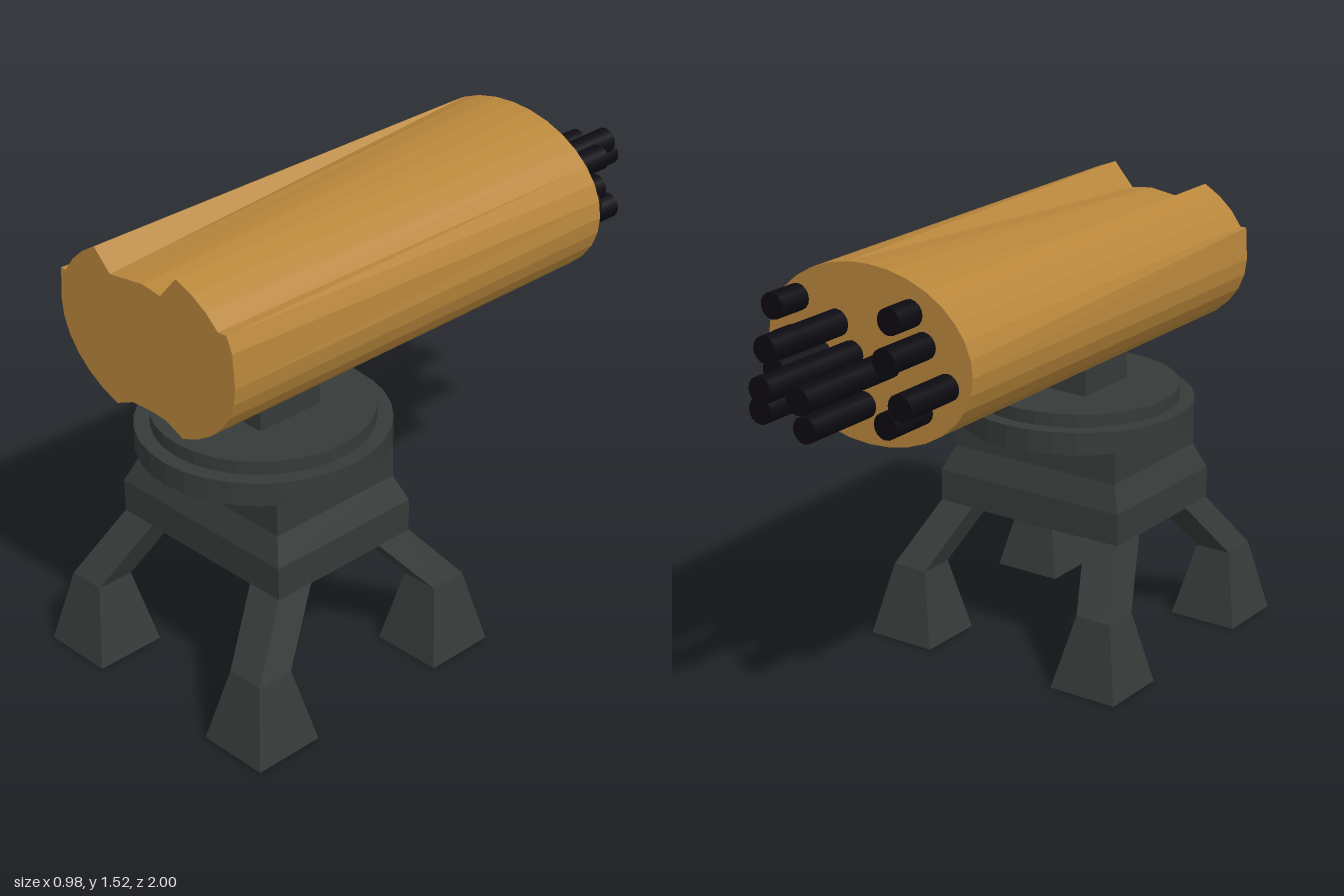
import * as THREE from 'three';

const iron = new THREE.MeshStandardMaterial({ color: 0x363a38, flatShading: true });
const brass = new THREE.MeshStandardMaterial({ color: 0xb8863b, flatShading: true });
const black = new THREE.MeshStandardMaterial({ color: 0x0c0a11 });

const BASE_Z = 0.508;

function add(parent, name, geometry, material, x = 0, y = 0, z = 0) {
  const mesh = new THREE.Mesh(geometry, material);
  mesh.name = name;
  mesh.position.set(x, y, z);
  parent.add(mesh);
  return mesh;
}

// Stack of rectangles [y, xMin, xMax, zMin, zMax], bottom to top, joined by flat sides
function rectLoft(levels) {
  const n = levels.length - 1;
  const geo = new THREE.BoxGeometry(1, 1, 1, 1, n, 1);
  const p = geo.attributes.position;
  for (let i = 0; i < p.count; i++) {
    const [y, x0, x1, z0, z1] = levels[Math.round((p.getY(i) + 0.5) * n)];
    p.setXYZ(i, p.getX(i) < 0 ? x0 : x1, y, p.getZ(i) < 0 ? z0 : z1);
  }
  geo.computeVertexNormals();
  return geo;
}

// Leg in one quadrant: flared foot, knee and slanted thigh
function legGeometry(sx, sz) {
  const levels = [
    [0, 0.245, 0.488, 0.25, 0.488],
    [0.248, 0.305, 0.432, 0.305, 0.432],
    [0.447, 0.225, 0.352, 0.142, 0.273],
  ];
  return rectLoft(levels.map(([y, a, b, c, d]) => [
    y,
    ...(sx > 0 ? [a, b] : [-b, -a]),
    ...(sz > 0 ? [c, d] : [-d, -c]),
  ]));
}

// Elliptical barrel: the rear is a clean ellipse, the front rim is dented and bulged
function barrelGeometry() {
  const N = 32, zFront = 0.95, zRear = -0.585;
  const rear = [];
  for (let i = 0; i < N; i++) {
    const a = (i / N) * Math.PI * 2;
    rear.push(new THREE.Vector2(0.38 * Math.sin(a), 1.243 + 0.278 * Math.cos(a)));
  }
  const front = rear.map((v) => v.clone());
  const rimHeights = {
    30: 1.41, 31: 1.42, 0: 1.43, 1: 1.42, // top dent
    6: 1.4, 7: 1.35, 25: 1.35, // shoulder bulges
    15: 1.018, 16: 1.022, 17: 1.018, // bottom dent
  };
  for (const [i, y] of Object.entries(rimHeights)) front[i].y = y;

  const geo = new THREE.ExtrudeGeometry(new THREE.Shape(front), {
    depth: zFront - zRear, bevelEnabled: false, steps: 1,
  });
  geo.translate(0, 0, zRear);
  const p = geo.attributes.position;
  const v = new THREE.Vector2();
  for (let i = 0; i < p.count; i++) {
    if (p.getZ(i) > 0) continue;
    v.set(p.getX(i), p.getY(i));
    const k = front.findIndex((f) => f.distanceTo(v) < 1e-4);
    p.setXY(i, rear[k].x, rear[k].y);
  }
  geo.computeVertexNormals();
  return geo;
}

export function createModel() {
  const model = new THREE.Group();
  model.name = 'mountedBarrel';

  // Stand
  const stand = new THREE.Group();
  stand.name = 'stand';
  stand.position.z = BASE_Z;
  model.add(stand);
  for (const sx of [-1, 1]) {
    for (const sz of [-1, 1]) add(stand, 'leg', legGeometry(sx, sz), iron);
  }
  add(stand, 'housing', rectLoft([
    [0.445, -0.352, 0.352, -0.273, 0.273],
    [0.555, -0.352, 0.352, -0.273, 0.273],
    [0.64, -0.315, 0.315, -0.24, 0.24],
    [0.75, -0.315, 0.315, -0.24, 0.24],
  ]), iron);
  add(stand, 'turntableRim', new THREE.CylinderGeometry(0.395, 0.395, 0.077, 32), iron, 0, 0.7835, 0);
  add(stand, 'turntableTop', new THREE.CylinderGeometry(0.346, 0.346, 0.046, 32), iron, 0, 0.844, 0);
  add(stand, 'post', new THREE.BoxGeometry(0.244, 0.18, 0.244), iron, 0, 0.95, 0);

  // Barrel
  add(model, 'barrel', barrelGeometry(), brass);

  // Rods out of the rear: x, y, end z
  const rods = [
    [-0.29, 1.2, -0.81], [-0.207, 1.31, -0.775], [-0.195, 1.11, -0.755],
    [-0.16, 1.4, -0.69], [-0.077, 1.23, -1], [0.06, 1.235, -1],
    [0.015, 1.086, -0.865], [0.115, 1.322, -0.912], [0.168, 1.118, -0.88],
    [0.18, 1.215, -0.8], [0.263, 1.375, -0.705], [0.284, 1.243, -0.655],
  ];
  const start = -0.55;
  for (const [x, y, end] of rods) {
    const rod = new THREE.CylinderGeometry(0.042, 0.042, start - end, 16);
    rod.rotateX(Math.PI / 2);
    add(model, 'rod', rod, black, x, y, (start + end) / 2);
  }
  return model;
}
